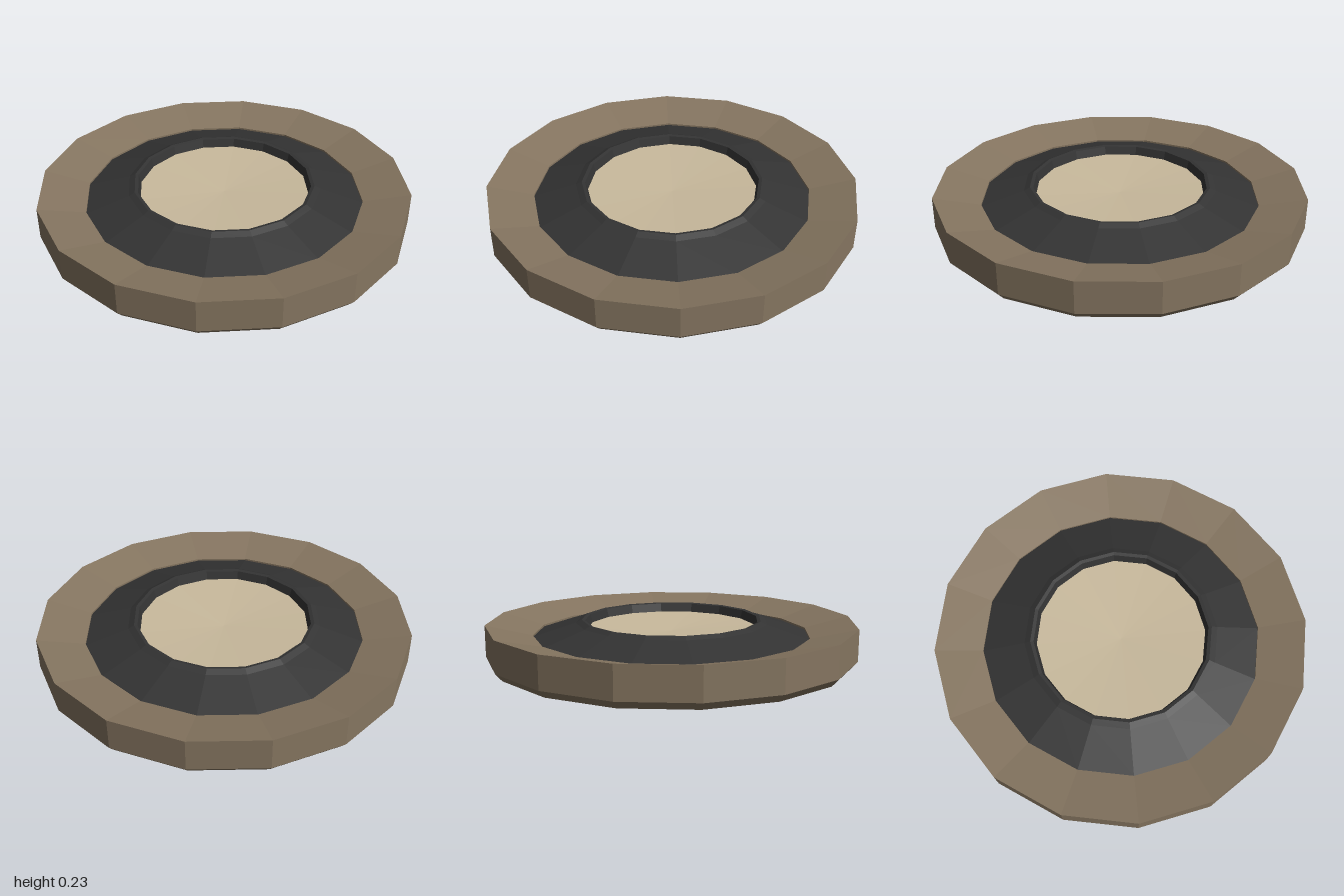
import * as THREE from 'three';

const SIDES = 16;

// Sixteen-sided ring or disc turned from a [radius, height] profile
function turned(name, profile, material) {
  const points = profile.map(([r, y]) => new THREE.Vector2(r, y));
  const mesh = new THREE.Mesh(new THREE.LatheGeometry(points, SIDES), material);
  mesh.name = name;
  return mesh;
}

function flat(name, color) {
  const material = new THREE.MeshStandardMaterial({ color, flatShading: true });
  material.name = name;
  return material;
}

export function createModel() {
  const brown = flat('brown rim', 0x857560);
  const charcoal = flat('charcoal', 0x333333);
  const cream = flat('cream', 0xc8b99c);

  const model = new THREE.Group();
  model.name = 'roundDish';

  // Outer rim: chamfered foot, upright wall, top sloping inward
  model.add(turned('outerRim', [
    [0.805, 0], [0.965, 0], [1, 0.04], [1, 0.21],
    [0.75, 0.15], [0.75, 0.12], [0.8, 0.03], [0.805, 0],
  ], brown));

  // Conical collar rising to a raised lip around the central recess
  model.add(turned('collar', [
    [0.49, 0.155], [0.55, 0.118], [0.8, 0.028], [0.75, 0.14], [0.52, 0.212],
    [0.488, 0.228], [0.47, 0.224], [0.455, 0.17], [0.49, 0.155],
  ], charcoal));

  // Shallow dished centre with a flat underside
  model.add(turned('centreDisc', [
    [0, 0.154], [0.491, 0.154], [0.458, 0.178], [0, 0.15501],
  ], cream));

  return model;
}
